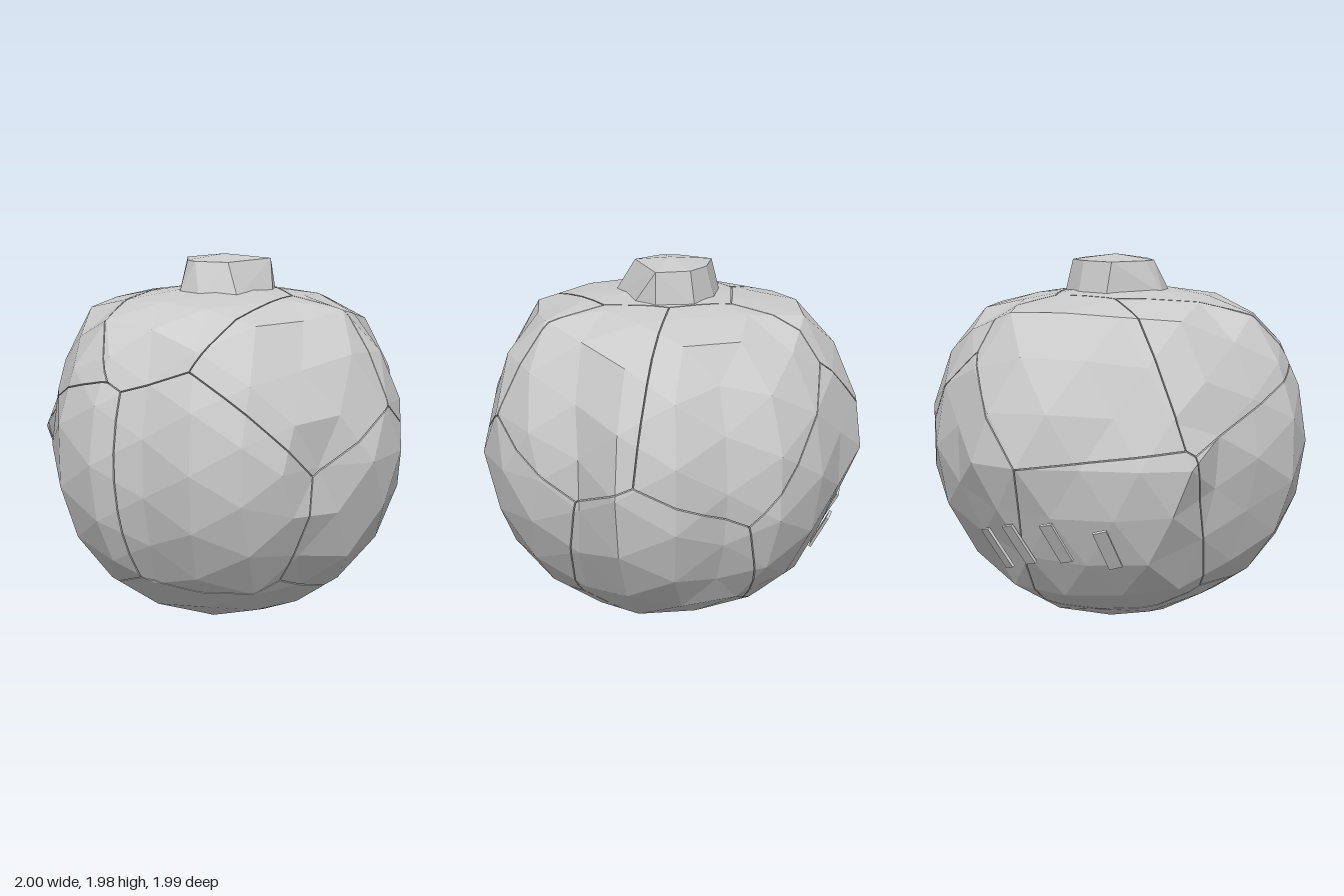
import * as THREE from 'three';
import { ConvexGeometry } from 'three/addons/geometries/ConvexGeometry.js';

const V = (x, y, z) => new THREE.Vector3(x, y, z);

// Equator outline: angle from the front (degrees, towards +x), radius
const OUTLINE = [
  [0, 1], [8, 0.96], [15, 0.91], [36, 0.99], [53, 1], [62, 0.97], [74, 0.89], [81, 0.95],
  [91, 1.01], [109, 1.01], [119, 0.985], [128, 0.92], [134, 0.91], [146, 1.03], [164, 1.05],
  [182, 0.95], [199, 1.06], [212, 1.03], [225, 1], [235, 1.07], [252, 1.05], [273, 0.95],
  [292, 0.995], [303, 1.01], [315, 0.91], [330, 0.95], [340, 1.01], [360, 1],
];

// Local dents: direction, depth
const DENTS = [
  [V(-0.85, -0.35, -0.4), 0.05], [V(-0.85, 0.4, 0.3), 0.04], [V(-0.65, -0.3, 0.65), 0.03],
].map(([dir, depth]) => [dir.normalize(), depth]);

// Plate centres, as directions from the middle; the first plate carries the knob
const PLATES = [
  [0.05, 0.9, 0.42], [-0.56, 0.58, 0.59], [-0.89, 0.44, 0.05], [0, 0.36, -0.93],
  [0.69, 0.43, -0.57], [0.83, 0.5, 0.24], [0.6, -0.12, 0.78], [-0.4, -0.12, 0.9],
  [0.95, -0.25, -0.2], [0.35, -0.45, -0.8], [-0.65, -0.2, -0.75], [-0.92, -0.35, 0.15], [0.1, -0.95, 0.1],
].map(p => V(...p).normalize());

const GAP = 0.003;

function outlineRadius(x, z) {
  const a = (THREE.MathUtils.radToDeg(Math.atan2(x, z)) + 360) % 360;
  const i = OUTLINE.findIndex(([deg]) => deg > a);
  const [a0, r0] = OUTLINE[i - 1], [a1, r1] = OUTLINE[i];
  return r0 + (r1 - r0) * (a - a0) / (a1 - a0);
}

// Lobed ball: lobes fade towards the poles and the crown is a shallow cone
function deform(p) {
  p.normalize();
  let r = 1 + (outlineRadius(p.x, p.z) - 1) * (1 - p.y * p.y);
  for (const [dir, depth] of DENTS) r -= depth * THREE.MathUtils.smoothstep(p.dot(dir), 0.93, 0.98);
  const crown = 0.83 / (p.y + 0.15 * Math.hypot(p.x, p.z));
  return p.multiplyScalar(p.y > 0 ? Math.min(r, crown) : r);
}

function lobedBall() {
  const geo = new THREE.IcosahedronGeometry(1, 3);
  const pos = geo.attributes.position, p = V(0, 0, 0);
  for (let i = 0; i < pos.count; i++) {
    deform(p.fromBufferAttribute(pos, i));
    pos.setXYZ(i, p.x, p.y, p.z);
  }
  geo.computeVertexNormals();
  return geo;
}

// Keep the part of a polygon on the positive side of a plane
function clip(poly, n) {
  const out = [];
  poly.forEach((a, i) => {
    const b = poly[(i + 1) % poly.length];
    const da = a.dot(n) - GAP, db = b.dot(n) - GAP;
    if (da >= 0) out.push(a);
    if (da * db < 0) out.push(a.clone().lerp(b, da / (da - db)));
  });
  return out;
}

// One plate: its share of the skin, plus walls going inwards along the seams
function plateGeometry(ball, centre) {
  const planes = PLATES.filter(c => c !== centre).map(c => centre.clone().sub(c).normalize());
  const pos = ball.attributes.position, verts = [];
  const face = pts => {
    for (let k = 1; k < pts.length - 1; k++)
      for (const p of [pts[0], pts[k], pts[k + 1]]) verts.push(p.x, p.y, p.z);
  };
  for (let i = 0; i < pos.count; i += 3) {
    let poly = [0, 1, 2].map(k => V(0, 0, 0).fromBufferAttribute(pos, i + k));
    for (const n of planes) if (poly.length) poly = clip(poly, n);
    if (poly.length < 3) continue;
    face(poly);
    poly.forEach((a, k) => {
      const b = poly[(k + 1) % poly.length];
      const onSeam = planes.some(n => Math.abs(a.dot(n) - GAP) < 1e-6 && Math.abs(b.dot(n) - GAP) < 1e-6);
      if (onSeam) face([b, a, a.clone().multiplyScalar(0.96), b.clone().multiplyScalar(0.96)]);
    });
  }
  const geo = new THREE.BufferGeometry();
  geo.setAttribute('position', new THREE.Float32BufferAttribute(verts, 3));
  geo.computeVertexNormals();
  return geo;
}

export function createModel() {
  const group = new THREE.Group();
  const mat = new THREE.MeshStandardMaterial({ color: 0xcccccc, flatShading: true });
  const add = (geo, name, y = 1) => {
    const mesh = new THREE.Mesh(geo, mat);
    mesh.name = name;
    mesh.position.y = y;
    group.add(mesh);
    return mesh;
  };

  // Cracked shell
  const ball = lobedBall();
  PLATES.forEach((c, i) => add(plateGeometry(ball, c), 'shellPlate' + (i + 1)));

  // Closed core behind the seams
  add(ball.clone().scale(0.97, 0.97, 0.97), 'core');

  // Faceted knob on the crown, steep at the back and sloping at the front
  const top = [[-0.26, 0], [-0.17, -0.17], [-0.05, -0.26], [0.13, -0.24], [0.13, 0.11], [-0.04, 0.18], [-0.12, 0.15]];
  const foot = [[-0.3, -0.02], [-0.21, -0.19], [-0.06, -0.3], [0.14, -0.27], [0.22, -0.15], [0.23, 0.15], [0.05, 0.25], [-0.1, 0.24]];
  add(new ConvexGeometry([
    ...top.map(([x, z]) => V(x, 1.945, z)),
    ...foot.map(([x, z]) => V(x, 1.77, z)),
    V(-0.02, 1.975, -0.03),
  ]), 'crownKnob', 0);

  // Broken slivers standing off the right side
  [[278, 0.6], [262, 0.62], [248, 0.58], [236, 0.52]].forEach(([deg, y]) => {
    const a = THREE.MathUtils.degToRad(deg);
    const sliver = add(new THREE.BoxGeometry(0.07, 0.24, 0.015), 'shellSliver', y);
    const r = Math.sqrt(1 - (1 - y) ** 2);
    sliver.position.set(Math.sin(a) * r, y, Math.cos(a) * r);
    sliver.rotation.set(0.45, a, 0.3, 'YXZ');
  });

  return group;
}
